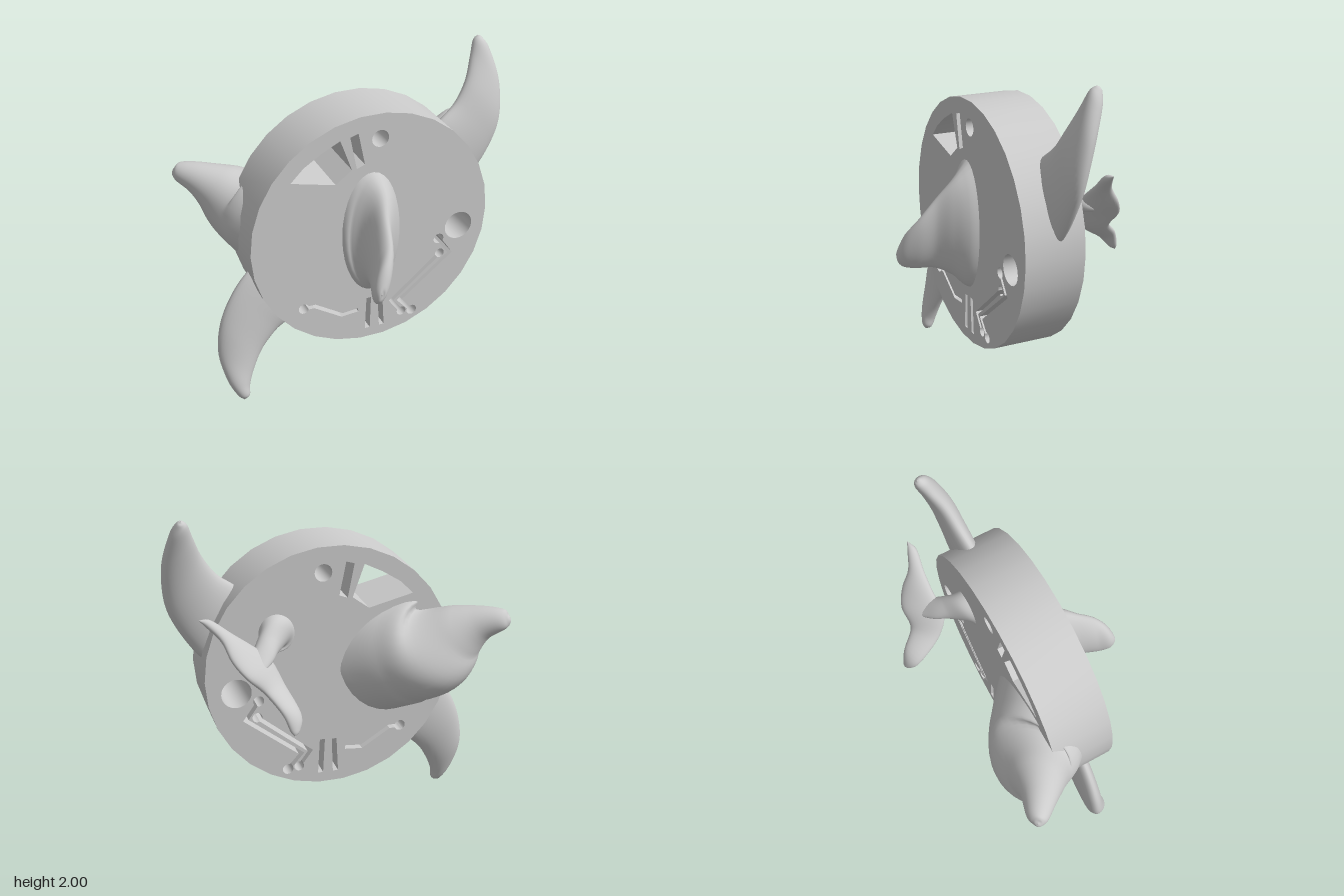
import * as THREE from 'three';
import { toCreasedNormals } from 'three/addons/utils/BufferGeometryUtils.js';

const material = new THREE.MeshStandardMaterial({ color: 0xcccccc, side: THREE.DoubleSide });
const V2 = (x, y) => new THREE.Vector2(x, y);

// Smooth skin over elliptical sections, each [edge A xyz, edge B xyz, half thickness]
function loft(name, sections, rings = 48, sides = 32) {
  const curve = pick => new THREE.CatmullRomCurve3(
    sections.map(s => new THREE.Vector3(...pick(s))), false, 'catmullrom', 0.5);
  const a = curve(s => s.slice(0, 3));
  const b = curve(s => s.slice(3, 6));
  const thick = curve(s => [s[6], 0, 0]);
  const centre = k => a.getPoint(k).add(b.getPoint(k)).multiplyScalar(0.5);
  const pos = [], index = [];
  for (let i = 0; i <= rings; i++) {
    const k = i / rings;
    const c = centre(k);
    const u = b.getPoint(k).sub(a.getPoint(k)).multiplyScalar(0.5);
    const tangent = centre(Math.min(1, k + 0.01)).sub(centre(Math.max(0, k - 0.01)));
    const n = tangent.cross(u).normalize().multiplyScalar(Math.max(0.002, thick.getPoint(k).x));
    for (let j = 0; j < sides; j++) {
      const t = j / sides * Math.PI * 2;
      const p = c.clone().addScaledVector(u, Math.cos(t)).addScaledVector(n, Math.sin(t));
      pos.push(p.x, p.y, p.z);
      if (i < rings) {
        const q = i * sides + j, r = i * sides + (j + 1) % sides;
        index.push(q, r, r + sides, q, r + sides, q + sides);
      }
    }
  }
  const geometry = new THREE.BufferGeometry();
  geometry.setAttribute('position', new THREE.Float32BufferAttribute(pos, 3));
  geometry.setIndex(index);
  geometry.computeVertexNormals();
  const mesh = new THREE.Mesh(geometry, material);
  mesh.name = name;
  return mesh;
}

const circle = (x, y, r, n = 28, turn = 0) => Array.from({ length: n }, (_, i) => {
  const t = (i + turn) / n * Math.PI * 2;
  return V2(x + r * Math.cos(t), y + r * Math.sin(t));
});

// Outline of a narrow slot along a path, with a round bulb of radius r at each end (0 = square)
function slot(path, rStart, rEnd, w = 0.012) {
  const out = [];
  const walk = (p, r) => {
    for (let i = 1; i < p.length - 1; i++) {
      const d1 = p[i].clone().sub(p[i - 1]).normalize();
      const d2 = p[i + 1].clone().sub(p[i]).normalize();
      const m = V2(-d1.y - d2.y, d1.x + d2.x).normalize();
      out.push(p[i].clone().addScaledVector(m, w / m.dot(V2(-d1.y, d1.x))));
    }
    const end = p[p.length - 1];
    const d = end.clone().sub(p[p.length - 2]).normalize();
    if (!r) {
      for (const s of [w, -w]) out.push(end.clone().addScaledVector(V2(-d.y, d.x), s));
      return;
    }
    const heading = d.angle(), span = Math.PI - Math.asin(w / r);
    for (let i = 0; i <= 18; i++) {
      const t = heading + span * (1 - i / 9);
      out.push(V2(end.x + r * Math.cos(t), end.y + r * Math.sin(t)));
    }
  };
  const pts = path.map(q => V2(...q));
  walk(pts, rEnd);
  walk(pts.slice().reverse(), rStart);
  return out;
}

function makeDisc() {
  const shape = new THREE.Shape(circle(0.03, 1.04, 0.752, 30, 0));
  const poly = pts => pts.map(p => V2(...p));
  const holes = [
    // upper window and slit
    poly([[-0.47, 1.46], [-0.39, 1.54], [-0.28, 1.61], [-0.17, 1.665], [-0.1, 1.47], [-0.2, 1.395]]),
    poly([[-0.11, 1.675], [-0.06, 1.69], [-0.02, 1.49], [-0.07, 1.47]]),
    // lower slits
    poly([[-0.005, 0.575], [0.025, 0.575], [0.018, 0.355], [-0.015, 0.355]]),
    poly([[0.068, 0.58], [0.1, 0.58], [0.112, 0.355], [0.08, 0.355]]),
    // round holes
    circle(0.075, 1.635, 0.052),
    circle(0.6, 0.95, 0.09),
    // bulb-ended channels
    slot([[0.48, 0.78], [0.16, 0.515], [0.23, 0.42]], 0.03, 0.03),
    slot([[0.47, 0.885], [0.55, 0.77], [0.215, 0.505], [0.3, 0.41]], 0.033, 0.033),
    slot([[-0.41, 0.605], [-0.34, 0.605], [-0.165, 0.495], [-0.06, 0.505]], 0.033, 0),
  ];
  shape.holes = holes.map(h => new THREE.Path(h));
  const geometry = new THREE.ExtrudeGeometry(shape, { depth: 0.37, bevelEnabled: false });
  geometry.translate(0, 0, -0.16);
  const mesh = new THREE.Mesh(toCreasedNormals(geometry, 0.5), material);
  mesh.name = 'disc';
  return mesh;
}

export function createModel() {
  const model = new THREE.Group();
  model.name = 'finnedDisc';
  model.add(makeDisc());

  // swept fins on the rim
  model.add(loft('upperFlipper', [
    [0.48, 1.5, 0, 0.68, 1.08, 0, 0.05],
    [0.57, 1.57, -0.01, 0.78, 1.15, -0.01, 0.068],
    [0.67, 1.65, -0.03, 0.9, 1.33, -0.01, 0.068],
    [0.75, 1.77, -0.06, 0.965, 1.5, -0.02, 0.065],
    [0.8, 1.89, -0.11, 0.975, 1.72, -0.06, 0.055],
    [0.83, 1.97, -0.14, 0.935, 1.9, -0.12, 0.045],
    [0.85, 1.992, -0.155, 0.895, 1.982, -0.15, 0.025],
    [0.868, 2, -0.16, 0.872, 2, -0.16, 0.002],
  ]));
  model.add(loft('lowerFlipper', [
    [-0.58, 0.9, 0.05, -0.5, 0.53, 0.05, 0.045],
    [-0.69, 0.85, 0.05, -0.45, 0.46, 0.05, 0.06],
    [-0.8, 0.71, 0.05, -0.54, 0.4, 0.06, 0.062],
    [-0.88, 0.53, 0.05, -0.64, 0.3, 0.08, 0.062],
    [-0.91, 0.33, 0.06, -0.71, 0.18, 0.11, 0.058],
    [-0.88, 0.15, 0.11, -0.745, 0.09, 0.13, 0.05],
    [-0.83, 0.04, 0.14, -0.755, 0.03, 0.15, 0.035],
    [-0.792, 0.004, 0.155, -0.788, 0.004, 0.155, 0.002],
  ]));

  // fin on the front face
  model.add(loft('dorsalFin', [
    [0.03, 0.62, 0.18, 0.03, 1.46, 0.18, 0.2],
    [0.03, 0.66, 0.24, 0.04, 1.4, 0.24, 0.155],
    [0, 0.73, 0.31, 0.05, 1.33, 0.31, 0.1],
    [-0.04, 0.77, 0.4, 0.03, 1.23, 0.4, 0.06],
    [-0.08, 0.77, 0.5, 0.01, 1.11, 0.5, 0.05],
    [-0.1, 0.785, 0.57, -0.04, 1.01, 0.57, 0.045],
    [-0.1, 0.82, 0.605, -0.075, 0.92, 0.605, 0.025],
    [-0.09, 0.865, 0.613, -0.088, 0.87, 0.613, 0.002],
  ]));

  // bulging head with a tapered snout on the back
  model.add(loft('head', [
    [-0.02, 1.06, -0.15, -0.7, 1.06, 0.02, 0.35],
    [-0.2, 1.1, -0.3, -0.76, 1.1, -0.05, 0.32],
    [-0.36, 1.14, -0.4, -0.8, 1.14, -0.13, 0.27],
    [-0.6, 1.24, -0.41, -0.85, 1.24, -0.2, 0.17],
    [-0.75, 1.3, -0.42, -0.91, 1.3, -0.28, 0.105],
    [-0.89, 1.335, -0.457, -0.97, 1.335, -0.36, 0.065],
    [-0.945, 1.345, -0.445, -0.98, 1.345, -0.4, 0.04],
    [-0.97, 1.35, -0.43, -0.972, 1.35, -0.427, 0.002],
  ]));

  // tail stem and its two-lobed fluke
  model.add(loft('tailStem', [
    [0.22, 1.32, -0.12, 0.47, 1.28, -0.12, 0.13],
    [0.27, 1.32, -0.18, 0.46, 1.28, -0.17, 0.105],
    [0.36, 1.28, -0.27, 0.5, 1.24, -0.24, 0.075],
    [0.42, 1.22, -0.35, 0.56, 1.22, -0.32, 0.045],
    [0.5, 1.18, -0.42, 0.56, 1.2, -0.4, 0.01],
  ]));
  model.add(loft('fluke', [
    [0.368, 0.86, -0.607, 0.372, 0.86, -0.607, 0.002],
    [0.335, 0.885, -0.58, 0.395, 0.895, -0.6, 0.02],
    [0.315, 0.95, -0.52, 0.43, 0.99, -0.565, 0.03],
    [0.365, 1.06, -0.36, 0.5, 1.08, -0.48, 0.036],
    [0.43, 1.2, -0.28, 0.6, 1.18, -0.48, 0.04],
    [0.54, 1.3, -0.29, 0.67, 1.27, -0.43, 0.036],
    [0.65, 1.38, -0.285, 0.71, 1.37, -0.36, 0.028],
    [0.76, 1.46, -0.27, 0.78, 1.45, -0.32, 0.022],
    [0.82, 1.48, -0.295, 0.822, 1.48, -0.298, 0.002],
  ]));
  return model;
}
